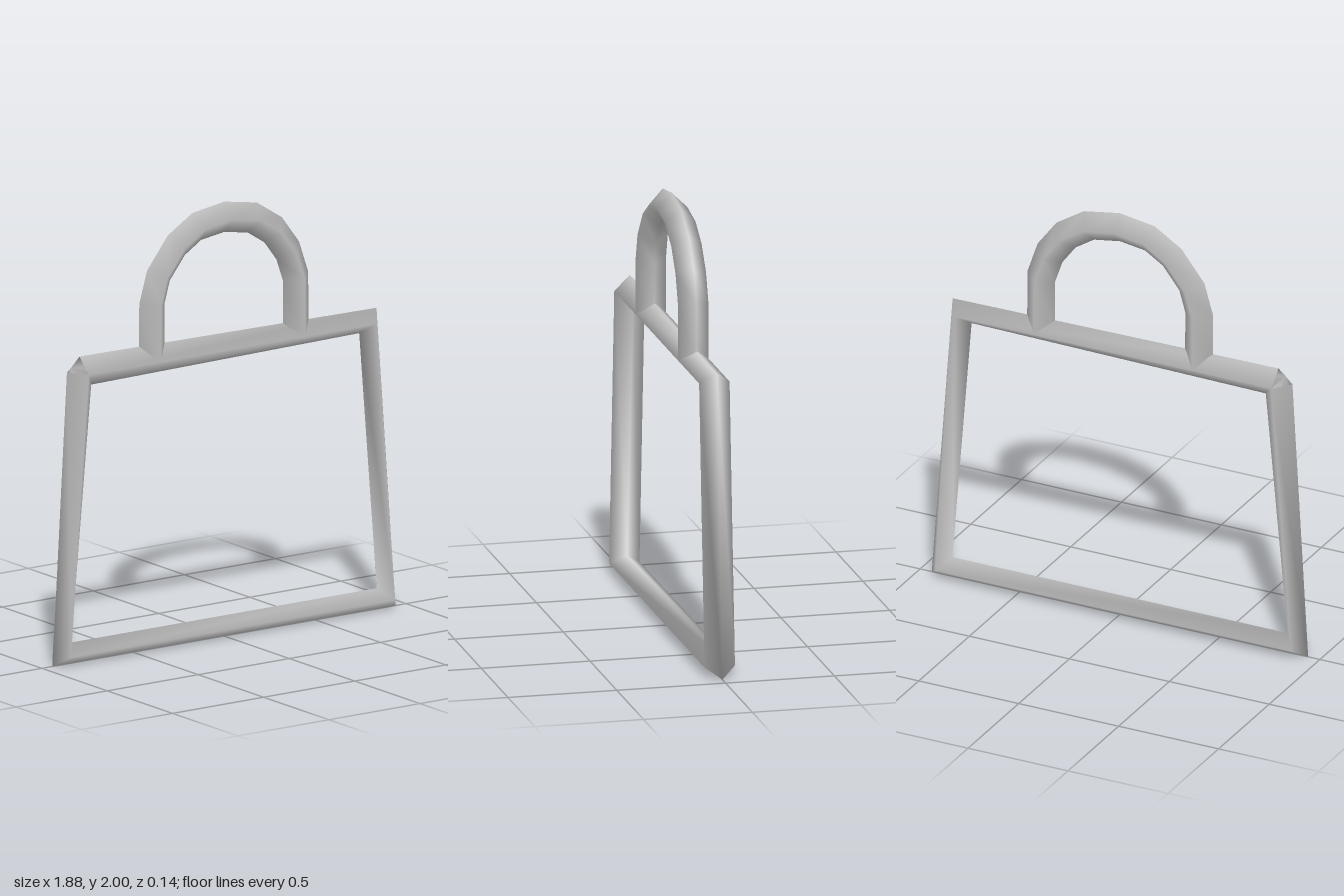
import * as THREE from 'three';

const RADIUS = 0.07;
const SIDES = 4;

// Smooth-shaded four-sided tube along a polyline in the xy plane; one ring per point
function tube(points) {
  const path = points.map(([x, y]) => new THREE.Vector3(x, y, 0));
  const dirs = path.slice(1).map((p, i) => p.clone().sub(path[i]).normalize());
  const zAxis = new THREE.Vector3(0, 0, 1);
  const position = [], normal = [], index = [];

  path.forEach((p, i) => {
    // Each ring lies across the average of the neighbouring directions
    const before = dirs[Math.max(i - 1, 0)];
    const after = dirs[Math.min(i, dirs.length - 1)];
    const t = before.clone().add(after).normalize();
    const side = new THREE.Vector3(-t.y, t.x, 0);
    for (let j = 0; j <= SIDES; j++) {
      const a = (j / SIDES) * Math.PI * 2;
      const n = side.clone().multiplyScalar(Math.cos(a)).addScaledVector(zAxis, Math.sin(a));
      normal.push(n.x, n.y, n.z);
      position.push(p.x + n.x * RADIUS, p.y + n.y * RADIUS, n.z * RADIUS);
      if (i < path.length - 1 && j < SIDES) {
        const k = i * (SIDES + 1) + j, m = k + SIDES + 1;
        index.push(k, k + 1, m, k + 1, m + 1, m);
      }
    }
  });

  const geometry = new THREE.BufferGeometry();
  geometry.setAttribute('position', new THREE.Float32BufferAttribute(position, 3));
  geometry.setAttribute('normal', new THREE.Float32BufferAttribute(normal, 3));
  geometry.setIndex(index);
  return geometry;
}

export function createModel() {
  const group = new THREE.Group();
  group.name = 'handbagOutline';
  const grey = new THREE.MeshStandardMaterial({ color: 0xc0c0c0, side: THREE.DoubleSide });
  grey.name = 'grey';

  const add = (name, points) => {
    const mesh = new THREE.Mesh(tube(points), grey);
    mesh.name = name;
    group.add(mesh);
  };

  // Tapered body frame, open where its two ends meet at the top left corner
  add('bodyFrame', [
    [-0.793, 1.337], [-0.89, 0.049], [0.89, 0.049], [0.79, 1.337], [-0.793, 1.337],
  ]);

  // Arched handle with straight legs sunk into the top bar
  add('handle', [
    [-0.396, 1.337], [-0.396, 1.59], [-0.36, 1.715], [-0.262, 1.84], [-0.15, 1.91],
    [0, 1.932], [0.155, 1.906], [0.27, 1.832], [0.35, 1.725], [0.393, 1.6], [0.395, 1.337],
  ]);

  return group;
}
